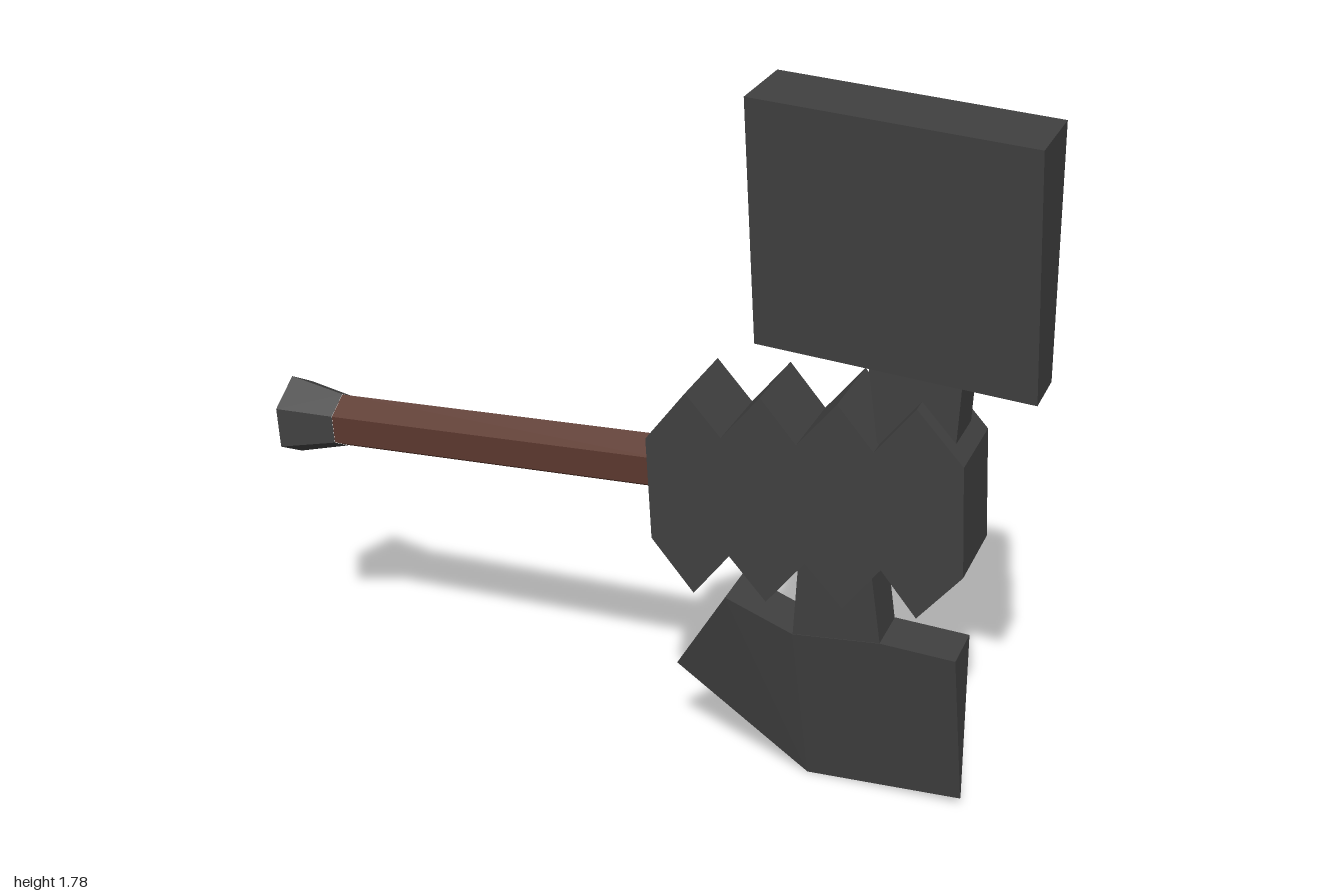
import * as THREE from 'three';

const metal = new THREE.MeshStandardMaterial({ color: 0x404040, flatShading: true });
metal.name = 'darkMetal';
const wood = new THREE.MeshStandardMaterial({ color: 0x5c382e, flatShading: true });
wood.name = 'brownWood';

function addMesh(parent, name, geometry, material) {
  const mesh = new THREE.Mesh(geometry, material);
  mesh.name = name;
  parent.add(mesh);
  return mesh;
}

// Closed solid through four-cornered sections running along x.
// Each station is [topX, topY, bottomX, bottomY]; the half depths are for top and bottom.
function taperedSolid(stations, topHalf, bottomHalf) {
  const positions = [];
  const index = [];
  for (const [tx, ty, bx, by] of stations) {
    positions.push(tx, ty, topHalf, tx, ty, -topHalf, bx, by, -bottomHalf, bx, by, bottomHalf);
  }
  for (let s = 0; s < stations.length - 1; s++) {
    for (let k = 0; k < 4; k++) {
      const a = s * 4 + k, b = s * 4 + (k + 1) % 4;
      index.push(a, a + 4, b, b, a + 4, b + 4);
    }
  }
  const e = (stations.length - 1) * 4;
  index.push(0, 1, 2, 0, 2, 3, e, e + 2, e + 1, e, e + 3, e + 2);
  const geometry = new THREE.BufferGeometry();
  geometry.setAttribute('position', new THREE.Float32BufferAttribute(positions, 3));
  geometry.setIndex(index);
  const flat = geometry.toNonIndexed();
  flat.computeVertexNormals();
  return flat;
}

export function createModel() {
  const model = new THREE.Group();
  model.name = 'hammerAxe';

  // Everything leans slightly toward the front
  const weapon = new THREE.Group();
  weapon.name = 'weapon';
  weapon.rotation.x = 0.0215;
  weapon.position.z = -0.025;
  model.add(weapon);

  // Six-sided grip and pommel, rising gently toward the head
  const handle = new THREE.Group();
  handle.name = 'handle';
  handle.position.set(-1, 0.755, 0);
  handle.rotation.z = 0.05 - Math.PI / 2;
  weapon.add(handle);
  const grip = new THREE.CylinderGeometry(0.072, 0.072, 0.95, 6, 1, false, Math.PI / 6);
  addMesh(handle, 'grip', grip, wood).position.y = 0.675;
  const pommelProfile = [[0, 0], [0.107, 0.055], [0.073, 0.2]].map(p => new THREE.Vector2(...p));
  addMesh(handle, 'pommel', new THREE.LatheGeometry(pommelProfile, 6, Math.PI / 6), metal);

  // Zigzag centre block
  const outline = [
    [0.085, 0.92], [0.185, 1.055], [0.275, 0.955], [0.37, 1.075], [0.46, 0.97], [0.555, 1.09],
    [0.645, 0.985], [0.74, 1.11], [0.855, 0.985], [0.87, 0.705], [0.765, 0.575], [0.675, 0.685],
    [0.585, 0.565], [0.49, 0.665], [0.395, 0.54], [0.3, 0.645], [0.21, 0.525], [0.1, 0.655],
  ];
  const block = new THREE.ExtrudeGeometry(
    new THREE.Shape(outline.map(p => new THREE.Vector2(...p))),
    { depth: 0.22, bevelEnabled: false });
  block.translate(0, 0, -0.11);
  addMesh(weapon, 'centreBlock', block, metal);

  // Hammer head, thicker toward its striking face
  addMesh(weapon, 'hammerNeck', taperedSolid(
    [[0.61, 1.19, 0.65, 0.92], [0.83, 1.18, 0.82, 0.92]], 0.066, 0.066), metal);
  addMesh(weapon, 'hammerHead', taperedSolid(
    [[0.32, 1.785, 0.34, 1.19], [0.98, 1.742, 1.0, 1.145]], 0.111, 0.07), metal);

  // Axe blade, narrowing to a sharp lower edge
  addMesh(weapon, 'bladeNeck', taperedSolid(
    [[0.465, 0.75, 0.45, 0.43], [0.625, 0.75, 0.67, 0.45]], 0.066, 0.064), metal);
  addMesh(weapon, 'axeBlade', taperedSolid([
    [0.275, 0.502, 0.125, 0.245],
    [0.45, 0.437, 0.48, 0.003],
    [0.67, 0.46, 0.68, 0.014],
    [0.855, 0.452, 0.875, 0.025],
  ], 0.066, 0.002), metal);

  return model;
}
